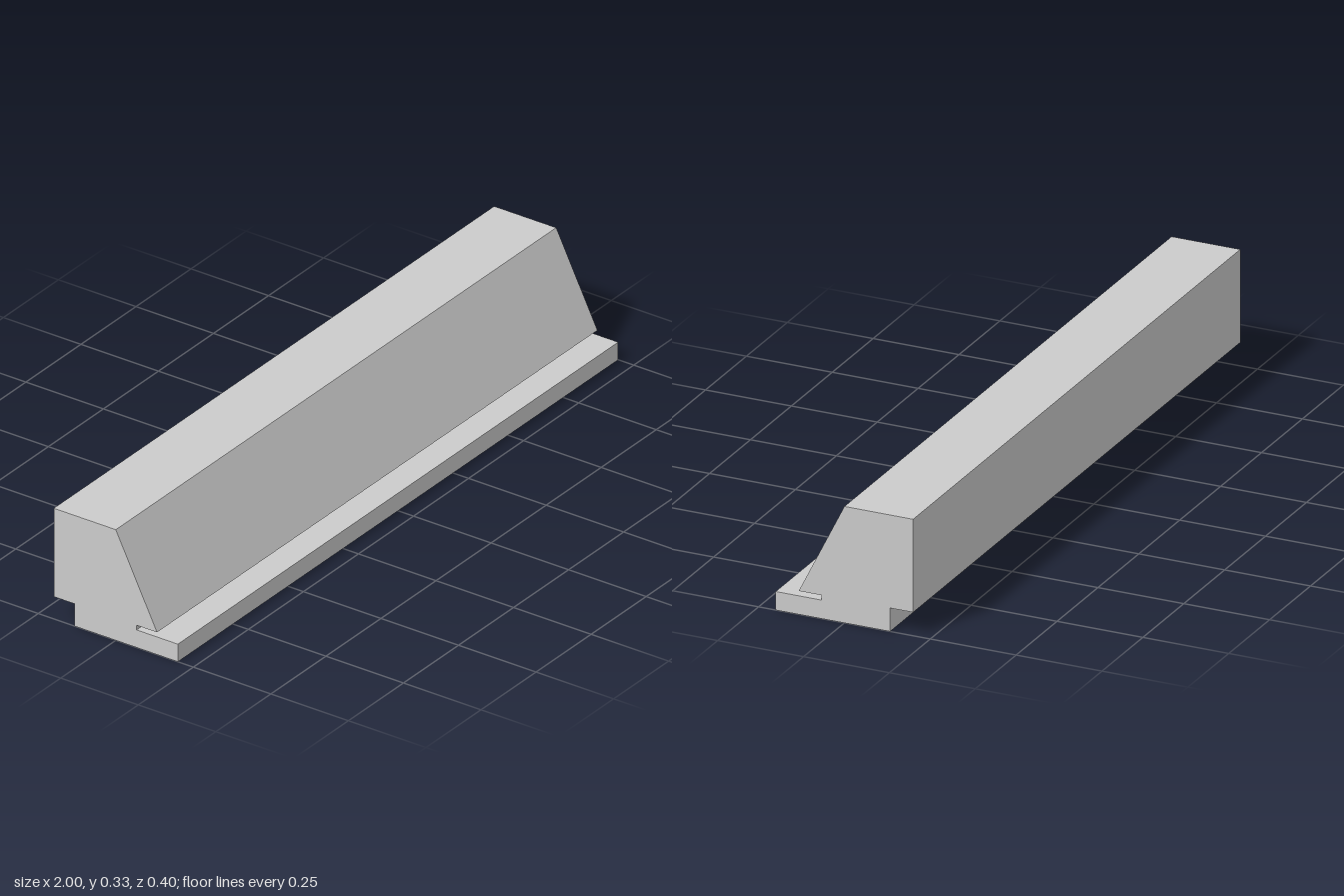
import * as THREE from 'three';

export function createModel() {
  const group = new THREE.Group();
  const length = 2;

  // Cross-section as [z, y]: foot with front lip, undercut slot, sloped face, rear rebate
  const profile = [
    [-0.133, 0], [0.2, 0], [0.2, 0.053], [0.067, 0.053], [0.067, 0.067],
    [0.133, 0.067], [0, 0.333], [-0.2, 0.333], [-0.2, 0.067], [-0.133, 0.067],
  ];
  const shape = new THREE.Shape(profile.map(([z, y]) => new THREE.Vector2(z, y)));

  // Run the section along x, centred
  const geometry = new THREE.ExtrudeGeometry(shape, { depth: length, bevelEnabled: false });
  geometry.translate(0, 0, -length / 2);
  geometry.rotateY(-Math.PI / 2);

  const rail = new THREE.Mesh(
    geometry,
    new THREE.MeshStandardMaterial({ color: 0xcccccc, flatShading: true })
  );
  rail.name = 'profiledRail';
  group.add(rail);
  return group;
}
